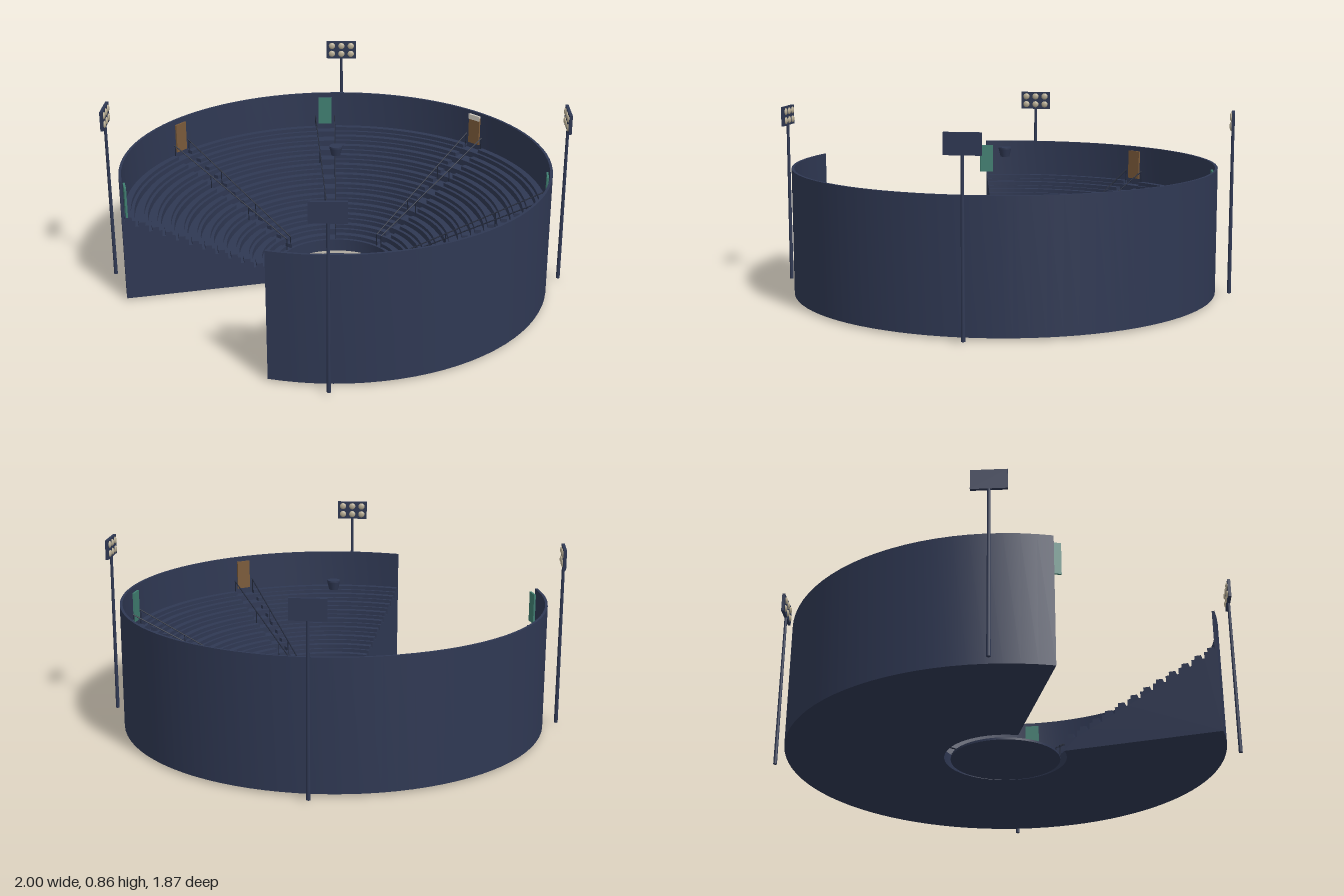
import * as THREE from 'three';
import { toCreasedNormals } from 'three/addons/utils/BufferGeometryUtils.js';

const DEG = Math.PI / 180;
const flat = (name, color, side = THREE.FrontSide) => {
  const m = new THREE.MeshStandardMaterial({ color, side });
  m.name = name;
  return m;
};

export function createModel() {
  const navy = flat('navy', 0x2f3853, THREE.DoubleSide);
  const dark = flat('dark navy', 0x1f2638);
  const wood = flat('wood', 0x654e36);
  const brown = flat('brown', 0x7a5a3a);
  const teal = flat('teal', 0x3f7d70);
  const cream = flat('cream', 0xe8d9b5);
  const white = flat('off white', 0xd8d2c6);
  const lampMat = flat('lamp', 0xb8ad94);

  const model = new THREE.Group();
  model.name = 'arena';
  const arena = new THREE.Group();
  arena.name = 'arenaCentre';
  arena.position.z = 0.065;
  model.add(arena);

  const add = (name, geometry, material, parent = arena, x = 0, y = 0, z = 0) => {
    const mesh = new THREE.Mesh(geometry, material);
    mesh.name = name;
    mesh.position.set(x, y, z);
    parent.add(mesh);
    return mesh;
  };
  // angle is measured from the back towards the right side (-x); local +z faces the centre
  const station = (name, angle, radius) => {
    const g = new THREE.Group();
    g.name = name;
    g.position.set(-Math.sin(angle) * radius, 0, -Math.cos(angle) * radius);
    g.rotation.y = angle;
    arena.add(g);
    return g;
  };

  // Stepped bowl: closed cross-section swept through 300 degrees
  const rows = 12, inner = 0.28, going = 0.06, rise = 0.03, first = 0.07, wall = 0.988;
  const profile = [[inner, 0.01], [1, 0.01], [1, 0.6], [wall, 0.6]];
  for (let i = rows - 1; i >= 0; i--) {
    const y = first + i * rise;
    profile.push([i === rows - 1 ? wall : inner + (i + 1) * going, y], [inner + i * going, y]);
  }
  const points = profile.map(([r, y]) => new THREE.Vector2(r, y));
  const bowl = new THREE.LatheGeometry([...points, points[0].clone()], 75, 30 * DEG, 300 * DEG);
  add('bowl', toCreasedNormals(bowl, 0.5), navy);
  for (const phi of [30, 330]) {
    add('bowlEnd', new THREE.ShapeGeometry(new THREE.Shape(points)), navy).rotation.y = (phi - 90) * DEG;
  }

  // Curved benches, broken at the aisles
  const bench = (r0, r1, a0, a1, height) => {
    const s = new THREE.Shape();
    s.absarc(0, 0, r1, a0 + Math.PI / 2, a1 + Math.PI / 2, false);
    s.absarc(0, 0, r0, a1 + Math.PI / 2, a0 + Math.PI / 2, true);
    const g = new THREE.ExtrudeGeometry(s, { depth: height, bevelEnabled: false, curveSegments: 14 });
    return toCreasedNormals(g.rotateX(-Math.PI / 2), 0.5);
  };
  for (let k = 0; k < 6; k++) {
    const a0 = (-150 + 50 * k + (k ? 3 : 0)) * DEG;
    const a1 = (-100 + 50 * k - (k < 5 ? 3 : 0)) * DEG;
    for (let i = 0; i < rows; i++) {
      const r = inner + i * going;
      add('bench', bench(r + 0.015, r + 0.045, a0, a1, 0.018), navy, arena, 0, first + i * rise, 0);
    }
  }

  // Sloping handrails on both sides of each aisle
  for (let k = -2; k <= 2; k++) {
    for (const side of [-3, 3]) {
      const a = (k * 50 + side) * DEG;
      const at = (r, y) => new THREE.Vector3(-Math.sin(a) * r, y, -Math.cos(a) * r);
      const path = new THREE.LineCurve3(at(0.29, 0.13), at(0.98, 0.475));
      add('aisleRail', new THREE.TubeGeometry(path, 1, 0.003, 6), dark);
      for (const r of [0.29, 0.52, 0.75, 0.975]) {
        const p = at(r, 0.095 + (r - 0.29) * 0.5);
        add('railPost', new THREE.CylinderGeometry(0.0025, 0.0025, 0.07, 6), dark, arena, p.x, p.y, p.z);
      }
    }
  }

  // Banners hung on the inside of the wall
  for (let k = -2; k <= 3; k++) {
    const g = station('bannerGroup', k * 50 * DEG, 0.978);
    const isTeal = k % 2 !== 0;
    add('banner', new THREE.BoxGeometry(0.07, 0.145, 0.009), isTeal ? teal : brown, g, 0, 0.505, 0);
    if (k === 0) add('bannerHeader', new THREE.BoxGeometry(0.07, 0.026, 0.012), white, g, 0, 0.574, 0.002);
  }

  // Round court with painted lines
  add('courtBase', new THREE.CylinderGeometry(0.25, 0.25, 0.01, 64), navy, arena, 0, 0.005, 0);
  add('courtFloor', new THREE.CylinderGeometry(0.225, 0.225, 0.004, 64), wood, arena, 0, 0.012, 0);
  const ring = (name, r) => {
    add(name, new THREE.RingGeometry(r - 0.003, r + 0.003, 64).rotateX(-Math.PI / 2), cream, arena, 0, 0.0155, 0);
  };
  ring('boundaryLine', 0.222);
  ring('centreCircle', 0.062);
  add('halfwayLine', new THREE.BoxGeometry(0.444, 0.001, 0.005), cream, arena, 0, 0.015, 0);

  // Scoreboard above the court
  add('scoreboard', new THREE.CylinderGeometry(0.03, 0.021, 0.036, 16), navy, arena, 0, 0.654, 0);
  add('scoreboardRim', new THREE.CylinderGeometry(0.03, 0.03, 0.008, 16), navy, arena, 0, 0.676, 0);

  // Four floodlight towers facing the centre
  for (let k = 0; k < 4; k++) {
    const g = station('lightTower', (45 + 90 * k) * DEG, 1.065);
    add('pole', new THREE.CylinderGeometry(0.007, 0.009, 0.765, 12), navy, g, 0, 0.3925, 0);
    add('lampPanel', new THREE.BoxGeometry(0.156, 0.092, 0.014), navy, g, 0, 0.816, 0);
    for (const x of [-0.05, 0, 0.05]) {
      for (const y of [0.795, 0.838]) {
        add('lamp', new THREE.SphereGeometry(0.017, 12, 8), lampMat, g, x, y, 0.007).scale.z = 0.5;
      }
    }
  }
  return model;
}
